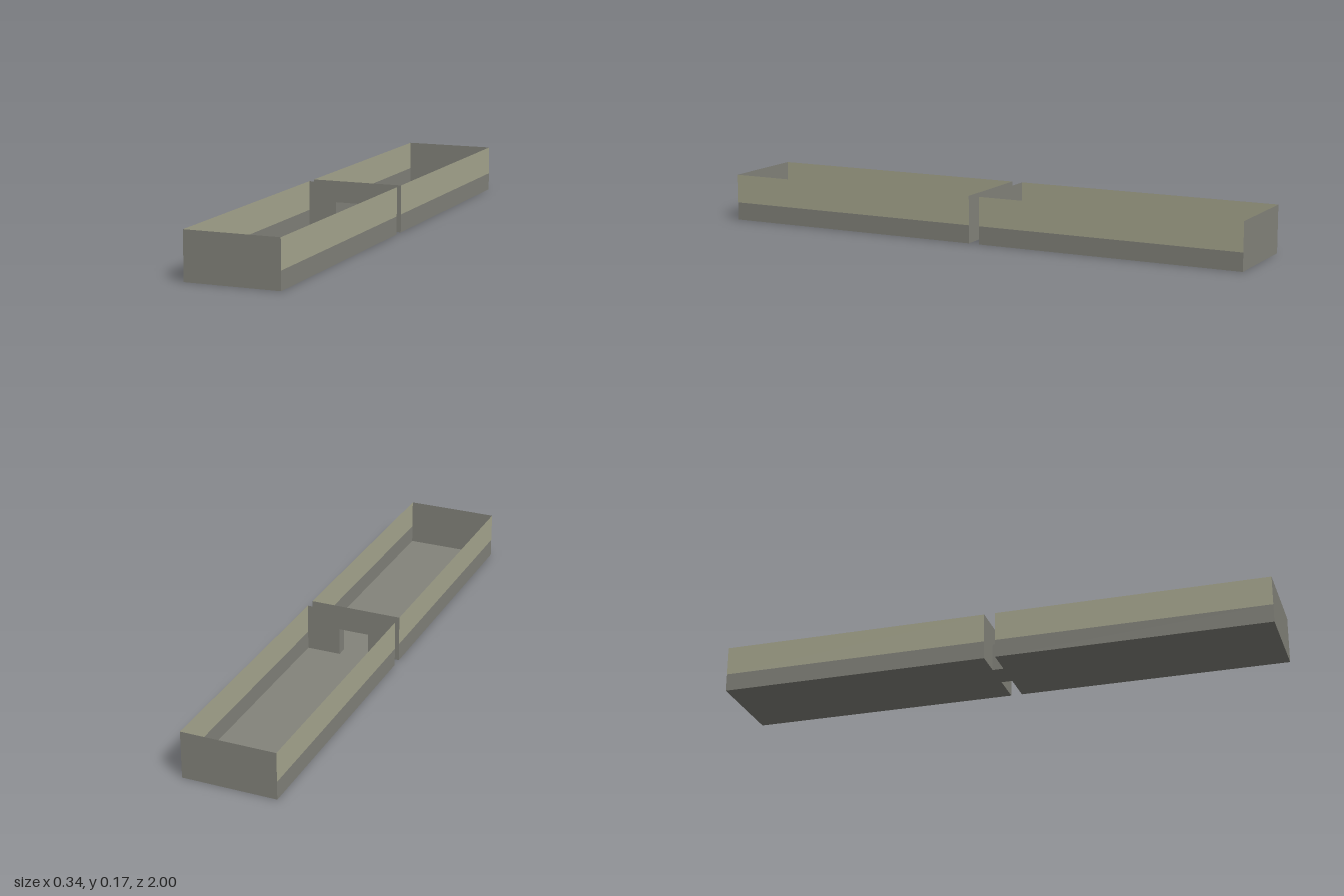
import * as THREE from 'three';

const HALF_W = 0.169, HEIGHT = 0.17, BAND = 0.065;   // room half width, wall height, lower band height
const NEAR = 0.02, FAR = 1;                          // room extent along z
const DOOR_L = -0.065, DOOR_R = 0.045, DOOR_H = 0.1; // doorway opening

export function createModel() {
  const grey = new THREE.MeshStandardMaterial({ color: 0x83837b, side: THREE.DoubleSide });
  grey.name = 'warm grey';
  const olive = new THREE.MeshStandardMaterial({ color: 0xa8a890, side: THREE.DoubleSide });
  olive.name = 'pale olive';

  const model = new THREE.Group();
  model.name = 'twoRooms';

  const add = (parent, name, geometry, material) => {
    const mesh = new THREE.Mesh(geometry, material);
    mesh.name = name;
    parent.add(mesh);
    return mesh;
  };

  // Thin sheets: facing up, and facing sideways (dir = +1 or -1 along x)
  const level = (parent, name, x0, x1, z0, z1, y) =>
    add(parent, name, new THREE.PlaneGeometry(x1 - x0, z1 - z0).rotateX(-Math.PI / 2)
      .translate((x0 + x1) / 2, y, (z0 + z1) / 2), grey);
  const side = (parent, name, x, y0, y1, z0, z1, dir, material) =>
    add(parent, name, new THREE.PlaneGeometry(z1 - z0, y1 - y0).rotateY(dir * Math.PI / 2)
      .translate(x, (y0 + y1) / 2, (z0 + z1) / 2), material);

  // Wall outline with the doorway cut up from the floor
  const doorWall = new THREE.Shape([
    [-HALF_W, 0], [DOOR_L, 0], [DOOR_L, DOOR_H], [DOOR_R, DOOR_H],
    [DOOR_R, 0], [HALF_W, 0], [HALF_W, HEIGHT], [-HALF_W, HEIGHT],
  ].map(([x, y]) => new THREE.Vector2(x, y)));

  for (const s of [1, -1]) {
    const room = new THREE.Group();
    room.name = s > 0 ? 'frontRoom' : 'backRoom';
    model.add(room);
    const z0 = s > 0 ? NEAR : -FAR, z1 = s > 0 ? FAR : -NEAR;

    level(room, 'floor', -HALF_W, HALF_W, z0, z1, 0);

    // Two-tone long walls
    for (const d of [1, -1]) {
      side(room, 'lowerSideWall', d * HALF_W, 0, BAND, z0, z1, d, grey);
      side(room, 'upperSideWall', d * HALF_W, BAND, HEIGHT, z0, z1, d, olive);
    }

    // Closed outer end
    const end = new THREE.PlaneGeometry(2 * HALF_W, HEIGHT);
    if (s < 0) end.rotateY(Math.PI);
    add(room, 'endWall', end.translate(0, HEIGHT / 2, s * FAR), grey);

    // Inner end with the doorway
    add(room, 'doorWall', new THREE.ShapeGeometry(doorWall).translate(0, 0, s * NEAR), grey);
  }

  // Short passage joining the two doorways
  const passage = new THREE.Group();
  passage.name = 'passage';
  model.add(passage);
  level(passage, 'passageFloor', DOOR_L, DOOR_R, -NEAR, NEAR, 0);
  level(passage, 'passageRoof', DOOR_L, DOOR_R, -NEAR, NEAR, DOOR_H);
  side(passage, 'rightJamb', DOOR_L, 0, DOOR_H, -NEAR, NEAR, -1, grey);
  side(passage, 'leftJamb', DOOR_R, 0, DOOR_H, -NEAR, NEAR, 1, grey);

  return model;
}
